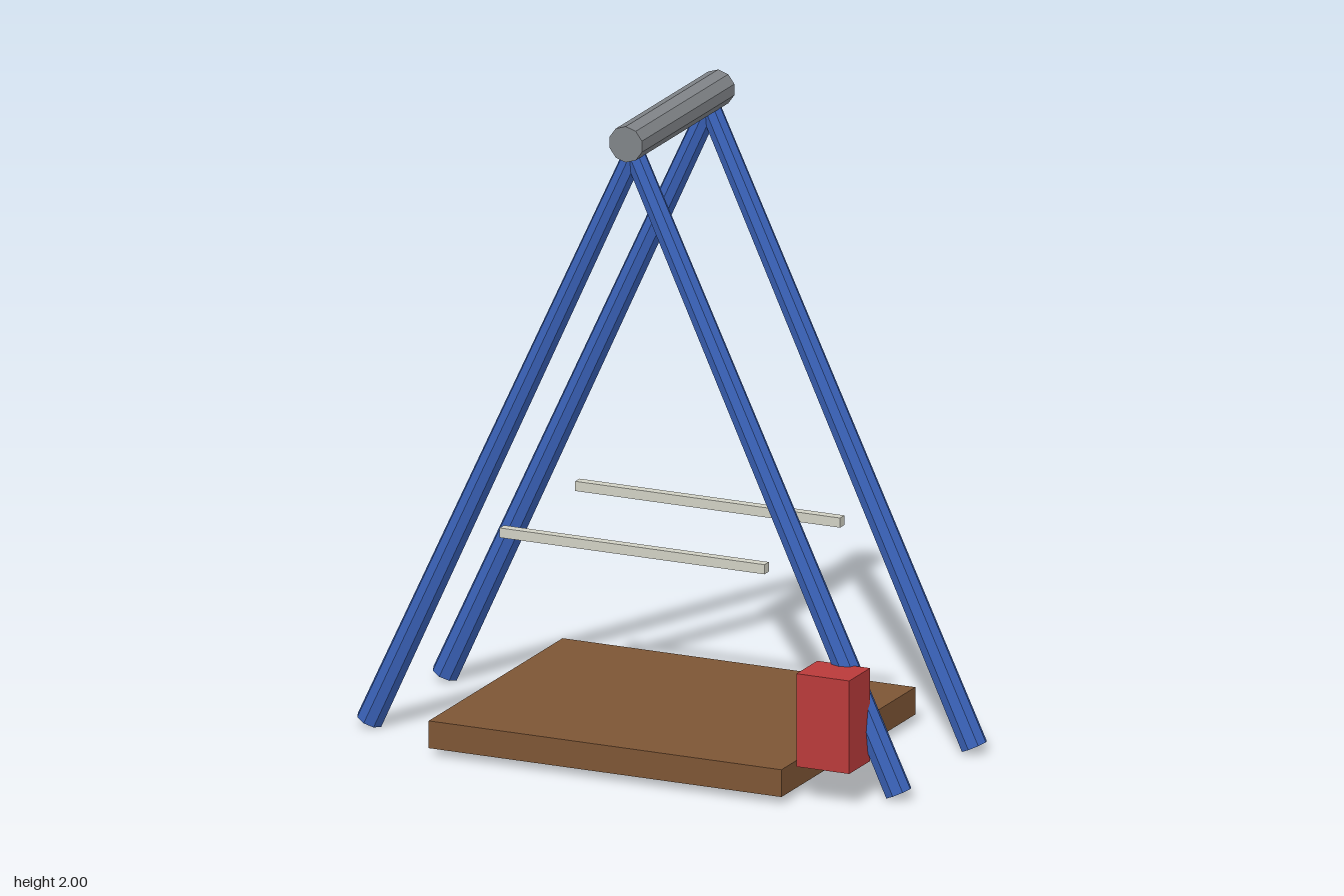
import * as THREE from 'three';

const mat = (color) => new THREE.MeshStandardMaterial({ color, flatShading: true });

export function createModel() {
  const model = new THREE.Group();
  const blue = mat(0x3a62b8), brown = mat(0x7d5535), red = mat(0xb93a3a);
  const grey = mat(0x808488), pale = mat(0xd0d0c4);

  const add = (name, geometry, material, x, y, z) => {
    const mesh = new THREE.Mesh(geometry, material);
    mesh.name = name;
    mesh.position.set(x, y, z);
    model.add(mesh);
    return mesh;
  };

  // Ridge beam along z
  add('ridgeBeam', new THREE.CylinderGeometry(0.056, 0.056, 0.644, 10), grey, 0, 1.944, 0)
    .rotation.x = Math.PI / 2;

  // Two A-frames of tapered legs, each with a cross bar
  const footX = 0.873, footY = 0.02, topY = 1.9;
  const length = Math.hypot(footX, topY - footY);
  const tilt = Math.atan2(footX, topY - footY);
  for (const [end, z] of [['front', 0.263], ['back', -0.263]]) {
    for (const [side, s] of [['Left', 1], ['Right', -1]]) {
      add(`${end}${side}Leg`, new THREE.CylinderGeometry(0.033, 0.042, length, 8), blue,
        s * footX / 2, (footY + topY) / 2, z).rotation.z = s * tilt;
    }
    add(`${end}CrossBar`, new THREE.BoxGeometry(0.874, 0.03, 0.03), pale, 0, 0.664, z);
  }

  // Low platform and the box fixed to a front leg
  add('platform', new THREE.BoxGeometry(1.164, 0.085, 0.932), brown, 0, 0.068, 0);
  add('sideBox', new THREE.BoxGeometry(0.174, 0.29, 0.145), red, 0.698, 0.257, 0.35);

  return model;
}
